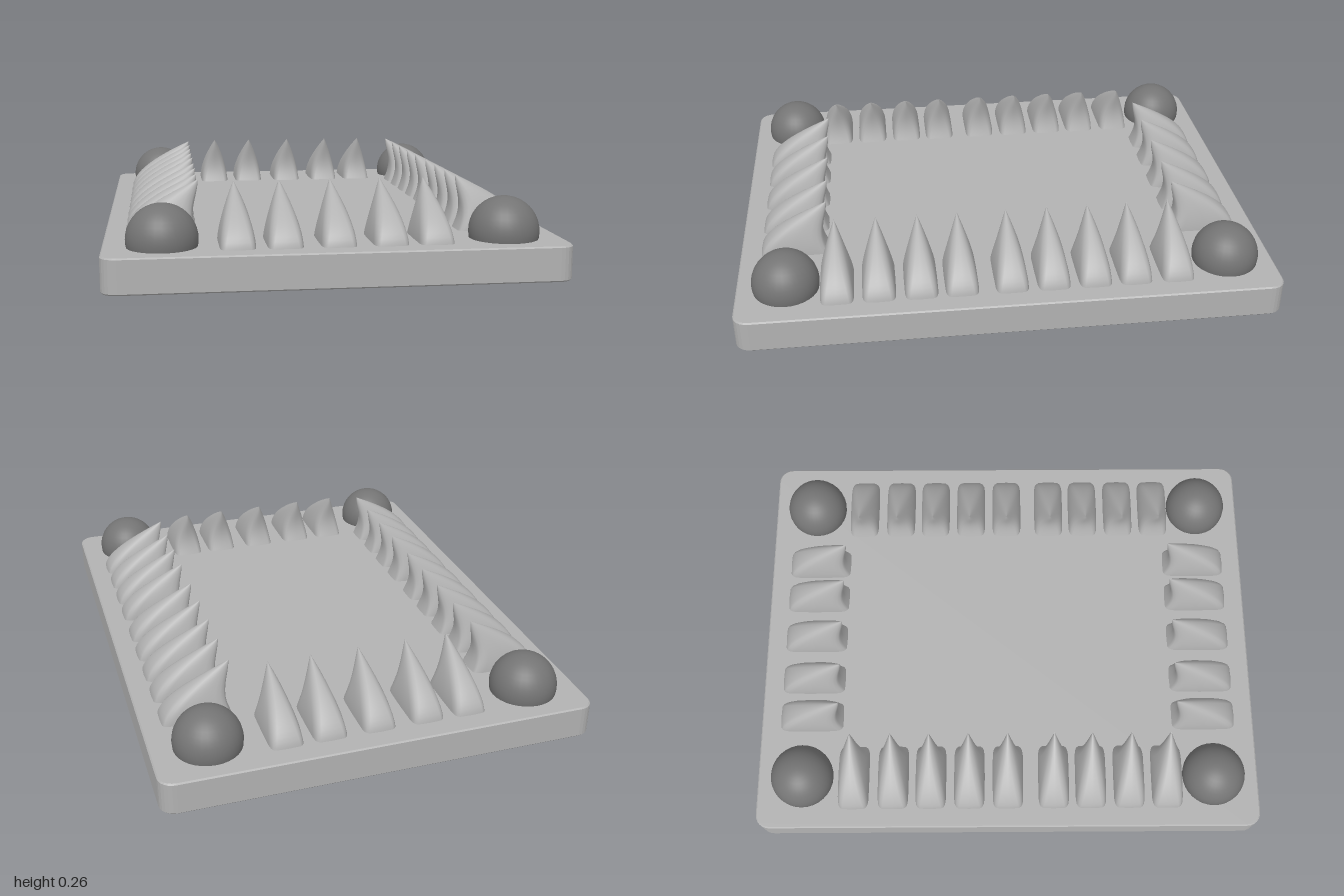
import * as THREE from 'three';

const HALF_W = 0.645, HALF_L = 0.812, PLATE_H = 0.1;

// Rounded rectangular slab with a fine bevel
function plateGeometry() {
  const r = 0.045, b = 0.004, w = HALF_W, l = HALF_L;
  const s = new THREE.Shape();
  s.absarc(w - r, l - r, r, 0, Math.PI / 2);
  s.absarc(-w + r, l - r, r, Math.PI / 2, Math.PI);
  s.absarc(-w + r, -l + r, r, Math.PI, Math.PI * 1.5);
  s.absarc(w - r, -l + r, r, Math.PI * 1.5, Math.PI * 2);
  const g = new THREE.ExtrudeGeometry(s, {
    depth: PLATE_H - 2 * b, bevelThickness: b, bevelSize: b,
    bevelOffset: -b, bevelSegments: 1, curveSegments: 3,
  });
  return g.rotateX(-Math.PI / 2).translate(0, b, 0);
}

// Claw: squarish foot, rounded back, tip curling towards -z
function clawGeometry() {
  const rings = 14, sides = 20, h = 0.165, half = 0.105;
  const pos = [], idx = [];
  for (let i = 0; i <= rings; i++) {
    const t = i / rings;
    const taper = 1 - Math.pow(t, 1.8);
    const outer = -half + 2 * half * taper;
    const inner = -half + 0.02 * Math.sin(Math.PI * t) * taper;
    const mid = (outer + inner) / 2, depth = (outer - inner) / 2;
    const e = 2 / (2 + 5 * (1 - t) ** 2);
    for (let j = 0; j < sides; j++) {
      const a = (j / sides) * Math.PI * 2;
      const c = Math.cos(a), s = Math.sin(a);
      pos.push(
        0.05 * taper * Math.sign(s) * Math.abs(s) ** e,
        h * t,
        mid + depth * Math.sign(c) * Math.abs(c) ** e);
      if (i < rings) {
        const k = (j + 1) % sides, p = i * sides, q = p + sides;
        idx.push(p + j, p + k, q + k, p + j, q + k, q + j);
      }
    }
  }
  const g = new THREE.BufferGeometry();
  g.setAttribute('position', new THREE.Float32BufferAttribute(pos, 3));
  g.setIndex(idx);
  g.computeVertexNormals();
  return g;
}

export function createModel() {
  const stone = new THREE.MeshStandardMaterial({ color: 0xb2b2b2 });
  stone.name = 'lightGrey';
  const dark = new THREE.MeshStandardMaterial({ color: 0x747474 });
  dark.name = 'darkGrey';

  const model = new THREE.Group();
  model.name = 'clawedPlate';
  const body = new THREE.Group();
  body.name = 'body';
  body.rotation.y = THREE.MathUtils.degToRad(-28);
  model.add(body);

  const add = (geo, mat, name, x, y, z, turn = 0) => {
    const m = new THREE.Mesh(geo, mat);
    m.name = name;
    m.position.set(x, y, z);
    m.rotation.y = turn;
    body.add(m);
  };

  add(plateGeometry(), stone, 'basePlate', 0, 0, 0);

  // Corner domes
  const ball = new THREE.SphereGeometry(0.1, 32, 20);
  for (const sx of [-1, 1])
    for (const sz of [-1, 1]) add(ball, dark, 'cornerDome', sx * 0.481, 0.12, sz * 0.665);

  // Claws along the long and short edges, tips facing inwards
  const claw = clawGeometry(), y = PLATE_H - 0.005;
  const longRow = [-0.5, -0.372, -0.25, -0.125, 0, 0.148, 0.268, 0.392, 0.515];
  const shortRow = [-0.277, -0.147, 0, 0.145, 0.273];
  for (const s of [-1, 1]) {
    for (const z of longRow) add(claw, stone, 'longEdgeClaw', s * 0.482, y, z, s * Math.PI / 2);
    for (const x of shortRow) add(claw, stone, 'shortEdgeClaw', x, y, s * 0.645, s > 0 ? 0 : Math.PI);
  }
  return model;
}
